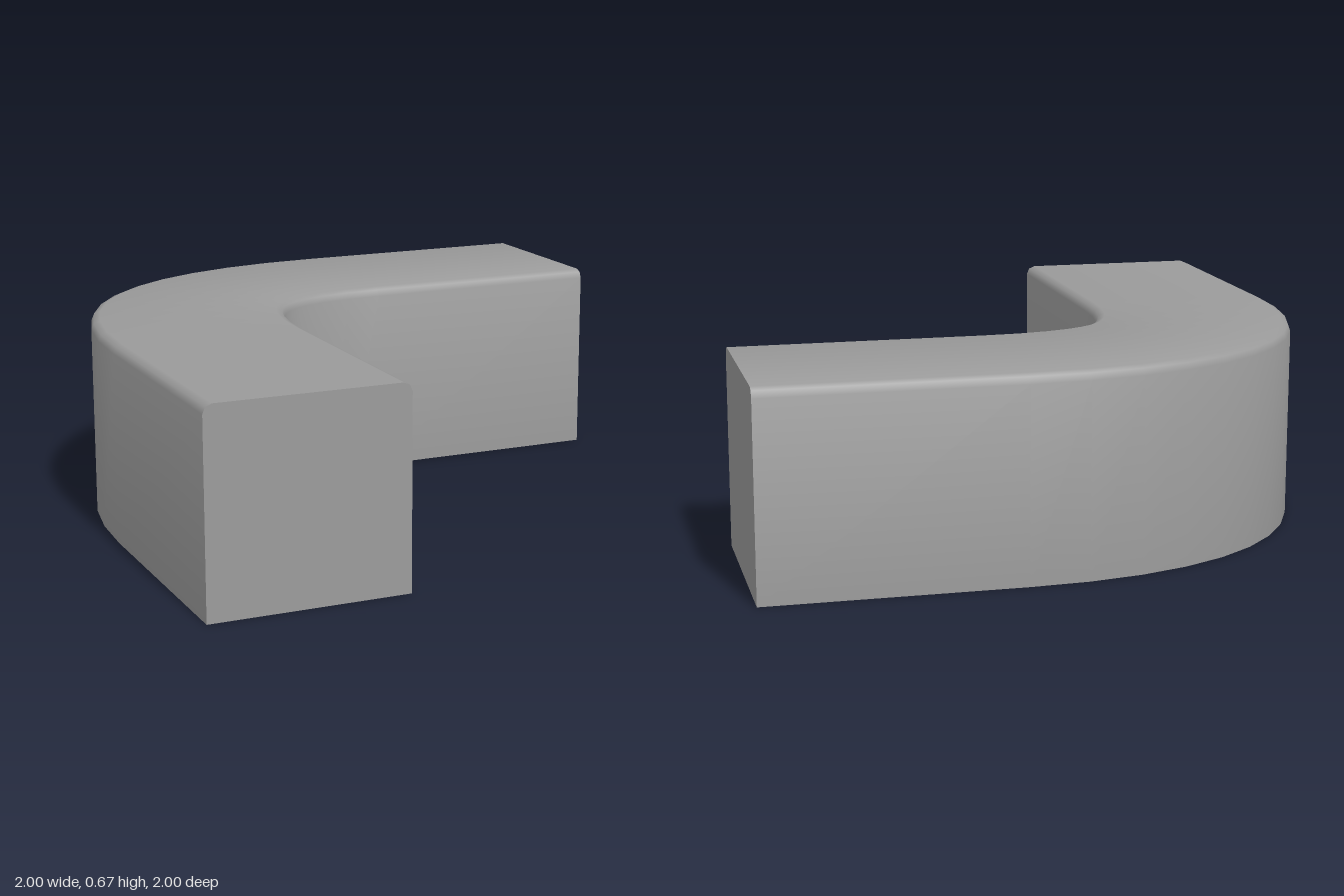
import * as THREE from 'three';

const WIDTH = 0.665, HEIGHT = 0.667, BEVEL = 0.03;

// Cross-section as (distance inward from the outer wall, height), open at the bottom
function makeProfile() {
  const points = [new THREE.Vector2(0, 0)];
  const steps = 2;
  for (const side of [0, 1]) {
    for (let i = 0; i <= steps; i++) {
      const a = Math.PI - (Math.PI / 2) * (side + i / steps);
      const cx = side ? WIDTH - BEVEL : BEVEL;
      points.push(new THREE.Vector2(cx + BEVEL * Math.cos(a), HEIGHT - BEVEL + BEVEL * Math.sin(a)));
    }
  }
  points.push(new THREE.Vector2(WIDTH, 0));
  return points;
}

// Soft normal at each profile point: the average of its two neighbouring edges
function profileNormals(profile) {
  const edges = profile.slice(1).map((q, j) => {
    const d = q.clone().sub(profile[j]).normalize();
    return new THREE.Vector2(-d.y, d.x);
  });
  return profile.map((q, j) => {
    const before = edges[Math.max(j - 1, 0)], after = edges[Math.min(j, edges.length - 1)];
    return before.clone().add(after).normalize();
  });
}

// Outer plan line (x, z): straight, quarter bend, straight
function makePath() {
  const bend = new THREE.CubicBezierCurve(
    new THREE.Vector2(-1, 0.16), new THREE.Vector2(-1, -0.585),
    new THREE.Vector2(-0.585, -1), new THREE.Vector2(0.16, -1));
  const path = [{ p: new THREE.Vector2(-1, 1), t: new THREE.Vector2(0, -1) }];
  const steps = 11;
  for (let i = 0; i <= steps; i++) {
    path.push({ p: bend.getPoint(i / steps), t: bend.getTangent(i / steps) });
  }
  path.push({ p: new THREE.Vector2(1, -1), t: new THREE.Vector2(1, 0) });
  return path;
}

// Sweep the cross-section along the plan line
function sweep(path, profile) {
  const positions = [], normals = [], indices = [], n = profile.length;
  const soft = profileNormals(profile);
  path.forEach(({ p, t }, i) => {
    profile.forEach((q, j) => {
      positions.push(p.x - t.y * q.x, q.y, p.y + t.x * q.x);
      normals.push(-t.y * soft[j].x, soft[j].y, t.x * soft[j].x);
      if (i < path.length - 1 && j < n - 1) {
        const a = i * n + j, b = a + n;
        indices.push(a, a + 1, b, b, a + 1, b + 1);
      }
    });
  });
  const geometry = new THREE.BufferGeometry();
  geometry.setAttribute('position', new THREE.Float32BufferAttribute(positions, 3));
  geometry.setAttribute('normal', new THREE.Float32BufferAttribute(normals, 3));
  geometry.setIndex(indices);
  return geometry;
}

export function createModel() {
  const group = new THREE.Group();
  group.name = 'cornerBlock';
  const material = new THREE.MeshStandardMaterial({ color: 0x9b9b9b, side: THREE.DoubleSide });
  const profile = makeProfile();

  // Hollow curved shell
  const shell = new THREE.Mesh(sweep(makePath(), profile), material);
  shell.name = 'curvedShell';

  // Flat end walls
  const endGeometry = new THREE.ShapeGeometry(new THREE.Shape(profile));
  const frontEnd = new THREE.Mesh(endGeometry, material);
  frontEnd.name = 'frontEnd';
  frontEnd.position.set(-1, 0, 1);
  const sideEnd = new THREE.Mesh(endGeometry, material);
  sideEnd.name = 'sideEnd';
  sideEnd.rotation.y = Math.PI / 2;
  sideEnd.position.set(1, 0, WIDTH - 1);

  group.add(shell, frontEnd, sideEnd);
  return group;
}
